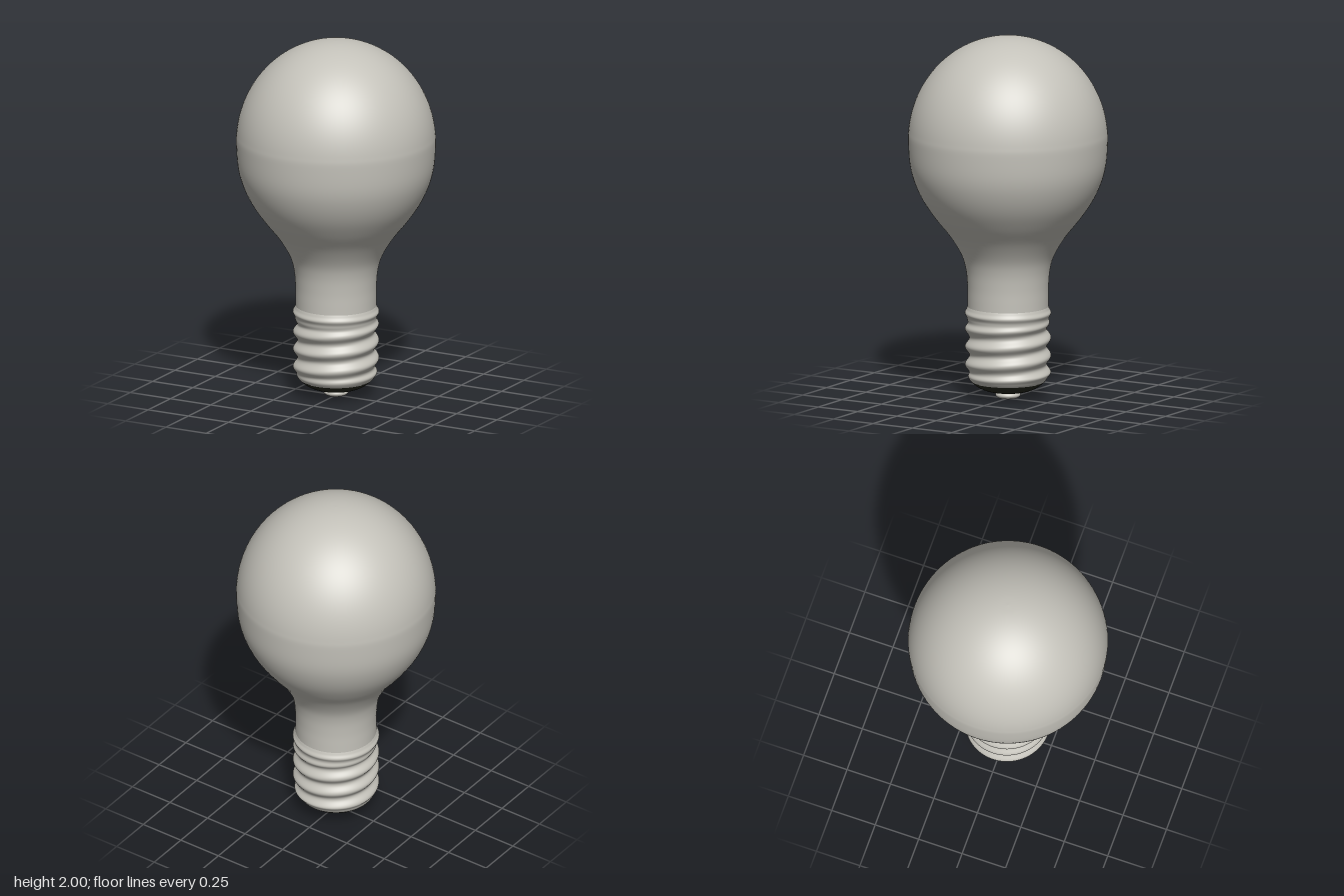
import * as THREE from 'three';
import { mergeVertices } from 'three/addons/utils/BufferGeometryUtils.js';

const SEGMENTS = 96;
const v2 = (x, y) => new THREE.Vector2(x, y);

// Surface of revolution with a smooth profile, listed from bottom to top
function turned(name, points, divisions, material) {
  const profile = new THREE.SplineCurve(points.map(([r, y]) => v2(r, y))).getPoints(divisions);
  profile.forEach((p) => { p.x = Math.max(p.x, 0); });
  const mesh = new THREE.Mesh(new THREE.LatheGeometry(profile, SEGMENTS), material);
  mesh.name = name;
  return mesh;
}

// Screw sleeve: a cylinder pushed in and out by a helical wave, with a rim ring on top
function screwGeometry() {
  const bottom = 0.095, top = 0.52, rows = 110, pitch = 0.098;
  const rows2 = [];
  for (let i = 0; i <= rows; i++) rows2.push(v2(0.222, bottom + (top - bottom) * i / rows));
  const geometry = new THREE.LatheGeometry(rows2, SEGMENTS);
  const pos = geometry.attributes.position;
  for (let i = 0; i < pos.count; i++) {
    const x = pos.getX(i), y = pos.getY(i), z = pos.getZ(i);
    const angle = Math.atan2(x, z);
    const fade = THREE.MathUtils.smoothstep(y, 0.11, 0.15) * (1 - THREE.MathUtils.smoothstep(y, 0.4, 0.445));
    const thread = 0.012 * fade * Math.cos(2 * Math.PI * (y - 0.378) / pitch - angle);
    const ring = 0.013 * Math.exp(-(((y - 0.475) / 0.018) ** 2));
    const lowerEdge = -0.022 * Math.max(0, (0.145 - y) / 0.05) ** 2;
    const upperEdge = -0.004 * THREE.MathUtils.smoothstep(y, 0.5, 0.52);
    const r = 0.222 + thread + ring + lowerEdge + upperEdge;
    pos.setXYZ(i, r * Math.sin(angle), y, r * Math.cos(angle));
  }
  // Weld the seam so the normals stay smooth all round
  geometry.deleteAttribute('uv');
  geometry.deleteAttribute('normal');
  const welded = mergeVertices(geometry, 1e-5);
  welded.computeVertexNormals();
  return welded;
}

export function createModel() {
  const paleGrey = new THREE.MeshStandardMaterial({ color: 0xc4c2ba });
  paleGrey.name = 'pale grey';
  const black = new THREE.MeshStandardMaterial({ color: 0x25271c });
  black.name = 'black insulator';

  const group = new THREE.Group();
  group.name = 'lightBulb';

  // Glass: straight neck, flared shoulder, rounded dome
  const glass = [
    [0.22, 0.48], [0.22, 0.55], [0.221, 0.63], [0.23, 0.72], [0.255, 0.8], [0.315, 0.9],
    [0.395, 1.0], [0.463, 1.1], [0.509, 1.2], [0.534, 1.3],
  ];
  for (let i = 0; i <= 16; i++) {
    const a = (i / 16) * Math.PI / 2;
    glass.push([0.543 * Math.cos(a), 1.43 + 0.57 * Math.sin(a)]);
  }
  group.add(turned('glassBulb', glass, 130, paleGrey));

  // Threaded sleeve
  const screw = new THREE.Mesh(screwGeometry(), paleGrey);
  screw.name = 'screwBase';
  group.add(screw);

  // Dark insulating cup under the sleeve
  group.add(turned('insulator',
    [[0, 0.036], [0.06, 0.038], [0.11, 0.045], [0.15, 0.059], [0.18, 0.078], [0.201, 0.1]], 30, black));

  // Rounded contact button at the very bottom
  group.add(turned('contact',
    [[0, 0], [0.03, 0.001], [0.052, 0.005], [0.065, 0.014], [0.068, 0.022], [0.064, 0.031], [0.052, 0.038], [0.03, 0.042]],
    32, paleGrey));

  return group;
}
